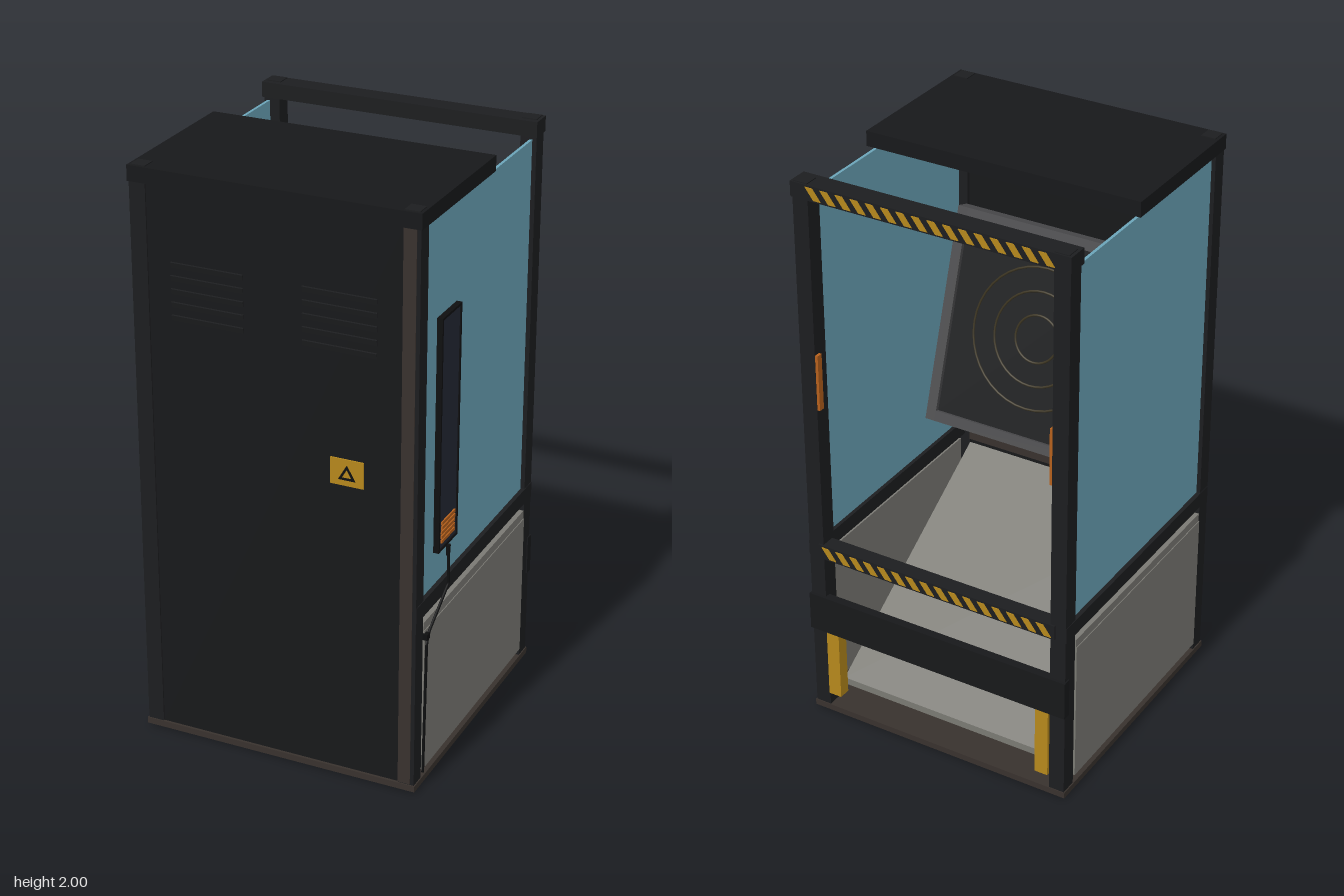
import * as THREE from 'three';

const mat = (color, extra = {}) => new THREE.MeshStandardMaterial({ color, ...extra });
const BLACK = mat(0x17181a), FRAME = mat(0x1c1d1f), BROWN = mat(0x38312d), GREY = mat(0x7a7973),
  GLASS = mat(0x6ba4b8, { side: THREE.DoubleSide }), NAVY = mat(0x232834), YELLOW = mat(0xb5871c),
  ORANGE = mat(0xb5601c), TRIM = mat(0x4a4a4c), OLIVE = mat(0x3a3320), DARK = mat(0x0e0f10);

export function createModel() {
  const root = new THREE.Group();
  root.name = 'booth';
  const body = new THREE.Group();
  body.name = 'boothBody';
  body.position.x = -0.0075;
  root.add(body);

  const add = (name, geo, material, parent = body) => {
    const m = new THREE.Mesh(geo, material);
    m.name = name;
    parent.add(m);
    return m;
  };
  // box given by its limits on each axis
  const box = (name, material, x0, x1, y0, y1, z0, z1, parent = body) => {
    const m = add(name, new THREE.BoxGeometry(x1 - x0, y1 - y0, z1 - z0), material, parent);
    m.position.set((x0 + x1) / 2, (y0 + y1) / 2, (z0 + z1) / 2);
    return m;
  };
  // the same box on the +x and -x sides
  const pair = (name, material, x0, x1, ...rest) => {
    box(name + 'Left', material, x0, x1, ...rest);
    box(name + 'Right', material, -x1, -x0, ...rest);
  };

  // base and roof
  box('basePlate', BROWN, -0.492, 0.492, 0.005, 0.027, -0.488, 0.492);
  box('baseUnderside', BLACK, -0.485, 0.485, 0, 0.005, -0.482, 0.485);
  box('roof', BLACK, -0.492, 0.492, 1.945, 1.997, -0.072, 0.492);

  // corner posts with caps
  pair('frontPost', FRAME, 0.432, 0.488, 0.027, 1.995, 0.432, 0.488);
  pair('backPost', FRAME, 0.432, 0.488, 0.027, 1.995, -0.485, -0.425);
  pair('frontPostCap', FRAME, 0.432, 0.482, 1.99, 2, 0.435, 0.485);
  pair('backPostCap', FRAME, 0.432, 0.482, 1.99, 2, -0.485, -0.435);

  // side walls
  pair('sideRail', FRAME, 0.452, 0.49, 0.628, 0.683, -0.485, 0.485);
  pair('sideGlass', GLASS, 0.465, 0.475, 0.683, 1.935, -0.42, 0.43);
  pair('lowerSidePanel', GREY, 0.468, 0.492, 0.055, 0.572, -0.42, 0.428);
  pair('lowerPanelHem', GREY, 0.468, 0.489, 0.572, 0.602, -0.42, 0.428);

  // front wall with vents
  box('frontPanel', BLACK, -0.432, 0.432, 0.027, 1.945, 0.445, 0.483);
  box('frontTrim', BROWN, 0.432, 0.475, 0.03, 1.945, 0.485, 0.49);
  box('innerSkirt', BROWN, -0.432, 0.432, 0.61, 0.66, 0.43, 0.446);
  for (const x of [-0.228, 0.222])
    for (let i = 0; i < 5; i++) {
      const slat = box('ventSlat', FRAME, x - 0.125, x + 0.125, 0, 0.02, 0.478, 0.486);
      slat.position.y = 1.515 + i * 0.044;
      slat.rotation.x = 0.25;
    }

  // warning plate with a triangle outline
  box('warningPlate', YELLOW, 0.192, 0.305, 1.06, 1.15, 0.48, 0.488);
  const tri = (r, Kind) => new Kind([90, 210, 330].map(a =>
    new THREE.Vector2(r * Math.cos(a * Math.PI / 180), r * Math.sin(a * Math.PI / 180))));
  const warning = tri(0.034, THREE.Shape);
  warning.holes.push(tri(0.019, THREE.Path));
  add('warningTriangle', new THREE.ExtrudeGeometry(warning, { depth: 0.003, bevelEnabled: false }), DARK)
    .position.set(0.249, 1.097, 0.487);

  // back beams with hazard stripes
  const stripe = new THREE.Shape([[0, 0], [0.026, 0], [0.056, 0.04], [0.03, 0.04]].map(p => new THREE.Vector2(...p)));
  const stripeGeo = new THREE.ExtrudeGeometry(stripe, { depth: 0.003, bevelEnabled: false });
  const hazardBeam = (name, y0, y1, halfWidth, zIn) => {
    box(name, FRAME, -halfWidth, halfWidth, y0, y1, -0.49, zIn);
    for (let i = 0; i < 16; i++)
      add(name + 'Stripe', stripeGeo, YELLOW).position.set(-0.438 + i * 0.0545, (y0 + y1) / 2 - 0.02, -0.493);
  };
  hazardBeam('topBackBeam', 1.945, 1.997, 0.492, -0.415);
  hazardBeam('middleBackBeam', 0.63, 0.683, 0.45, -0.435);
  box('bumperBeam', BLACK, -0.492, 0.492, 0.335, 0.475, -0.495, -0.465);
  pair('yellowGuard', YELLOW, 0.382, 0.43, 0.08, 0.335, -0.493, -0.45);
  pair('postLamp', ORANGE, 0.422, 0.434, 1.2, 1.4, -0.484, -0.462);

  // sloping chute floor, high at the front and low at the back
  const chute = new THREE.Shape([[-0.4, 0.06], [0.43, 0.575], [0.43, 0.598], [-0.4, 0.085]]
    .map(([z, y]) => new THREE.Vector2(-z, y)));
  const chuteGeo = new THREE.ExtrudeGeometry(chute, { depth: 0.86, bevelEnabled: false });
  chuteGeo.rotateY(Math.PI / 2);
  add('chuteFloor', chuteGeo, GREY).position.x = -0.43;

  // tilted screen facing the back, its lower edge reaching out
  const screen = new THREE.Group();
  screen.name = 'screen';
  screen.position.set(0, 1.27, 0.17);
  screen.rotation.x = 0.31;
  body.add(screen);
  box('screenBody', BLACK, -0.34, 0.34, -0.35, 0.35, -0.01, 0.03, screen);
  for (const s of [-1, 1]) {
    box('screenSideFrame', TRIM, -0.018, 0.018, -0.37, 0.37, -0.025, 0.03, screen).position.x = s * 0.342;
    box('screenEdgeFrame', TRIM, -0.325, 0.325, -0.018, 0.018, -0.025, 0.03, screen).position.y = s * 0.352;
  }
  for (const r of [0.08, 0.16, 0.24])
    add('screenRing', new THREE.TorusGeometry(r, 0.004, 6, 40), OLIVE, screen).position.z = -0.011;
  box('screenMount', FRAME, -0.08, 0.08, 1.2, 1.34, 0.19, 0.45);

  // wall unit on the left side, with louvres
  box('wallUnit', NAVY, 0.47, 0.49, 0.81, 1.597, 0.187, 0.323);
  for (const z of [0.184, 0.326])
    box('wallUnitSideRim', DARK, 0.47, 0.494, 0.802, 1.605, z - 0.004, z + 0.004);
  for (const y of [0.806, 1.601])
    box('wallUnitEndRim', DARK, 0.47, 0.494, y - 0.004, y + 0.004, 0.184, 0.326);
  for (let i = 0; i < 5; i++)
    box('louvre', ORANGE, 0.485, 0.495, 0.828 + i * 0.016, 0.839 + i * 0.016, 0.203, 0.307);

  // power cable running down the front post
  const path = new THREE.CurvePath();
  const pts = [[0.495, 0.79, 0.255], [0.498, 0.66, 0.255], [0.5, 0.565, 0.41], [0.5, 0.53, 0.428], [0.495, 0.05, 0.432]]
    .map(p => new THREE.Vector3(...p));
  for (let i = 0; i < pts.length - 1; i++) path.add(new THREE.LineCurve3(pts[i], pts[i + 1]));
  add('cable', new THREE.TubeGeometry(path, 60, 0.005, 8), DARK);
  add('cablePlug', new THREE.CylinderGeometry(0.008, 0.006, 0.04, 10), DARK).position.set(0.495, 0.78, 0.255);
  add('cableClip', new THREE.BoxGeometry(0.016, 0.02, 0.024), DARK).position.set(0.497, 0.555, 0.425);

  return root;
}
